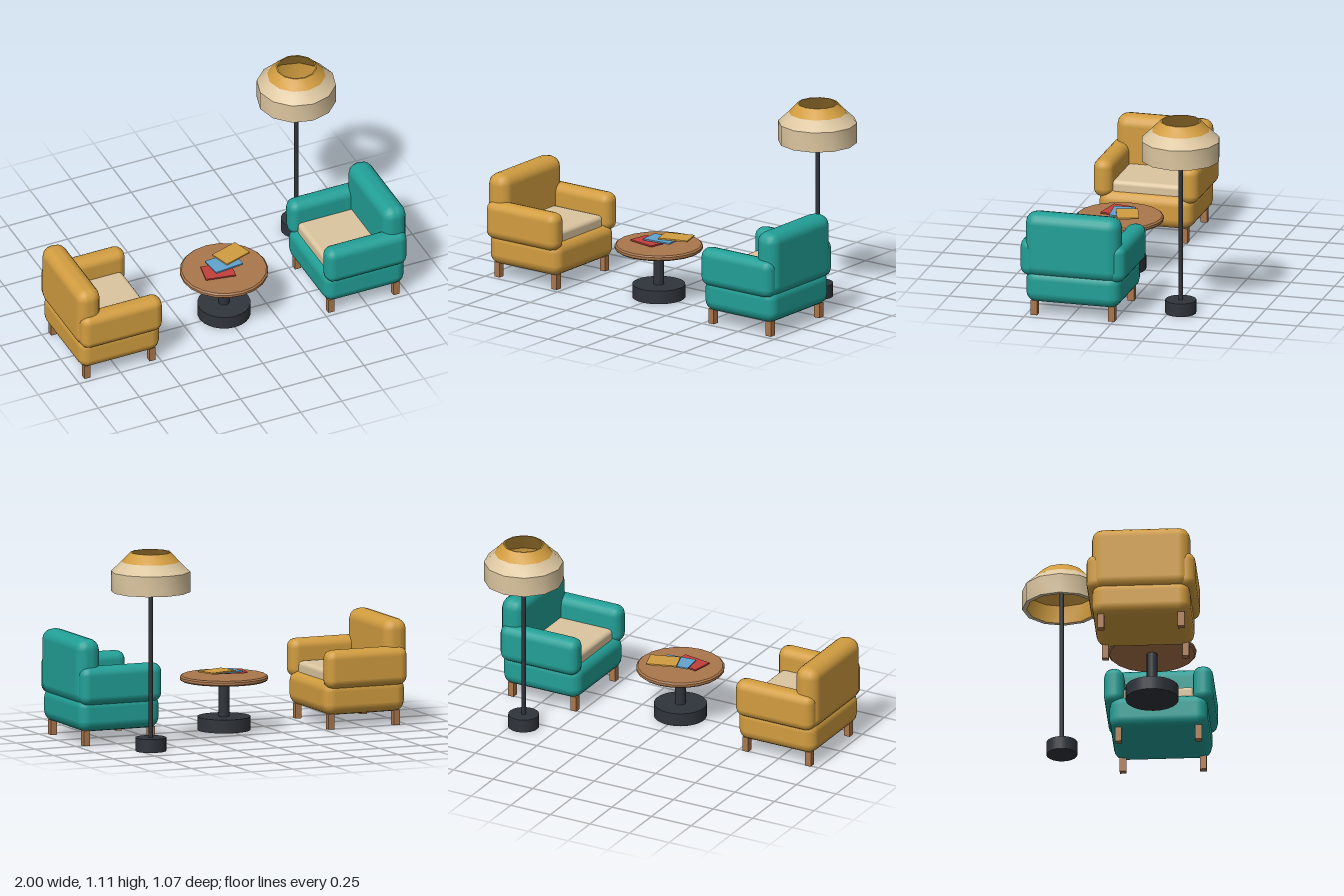
import * as THREE from 'three';
import { toCreasedNormals } from 'three/addons/utils/BufferGeometryUtils.js';
import { RoundedBoxGeometry } from 'three/addons/geometries/RoundedBoxGeometry.js';

const material = (name, color, side = THREE.FrontSide) => {
  const m = new THREE.MeshStandardMaterial({ color, side });
  m.name = name;
  return m;
};

export function createModel() {
  const gold = material('gold', 0xd29d40, THREE.DoubleSide);
  const teal = material('teal', 0x22a097);
  const cream = material('cream', 0xdcc6a0, THREE.DoubleSide);
  const wood = material('wood', 0xab774c);
  const charcoal = material('charcoal', 0x30353c);
  const red = material('red', 0xc2403a);
  const blue = material('blue', 0x62a4d0);

  const model = new THREE.Group();
  model.name = 'loungeSet';

  const group = (name, x, z) => {
    const g = new THREE.Group();
    g.name = name;
    g.position.set(x, 0, z);
    model.add(g);
    return g;
  };
  const add = (parent, name, geometry, mat, x = 0, y = 0, z = 0) => {
    const mesh = new THREE.Mesh(geometry, mat);
    mesh.name = name;
    mesh.position.set(x, y, z);
    parent.add(mesh);
    return mesh;
  };
  // Padded block from its x, y and z ranges
  const pad = (parent, name, mat, [x0, x1], [y0, y1], [z0, z1], r) =>
    add(parent, name, new RoundedBoxGeometry(x1 - x0, y1 - y0, z1 - z0, 2, r), mat,
      (x0 + x1) / 2, (y0 + y1) / 2, (z0 + z1) / 2);
  // Upright cylinder between two heights
  const post = (parent, name, mat, r, y0, y1, sides) =>
    add(parent, name, new THREE.CylinderGeometry(r, r, y1 - y0, sides), mat, 0, (y0 + y1) / 2, 0);
  const lathe = (points, sides, crease) => toCreasedNormals(
    new THREE.LatheGeometry(points.map(([r, y]) => new THREE.Vector2(r, y)), sides), crease);

  // Armchair facing +x
  const armchair = (name, mat, x, turn) => {
    const chair = group(name, x, 0.2325);
    chair.rotation.y = turn;
    pad(chair, 'seatBase', mat, [-0.245, 0.245], [0.077, 0.27], [-0.272, 0.272], 0.06);
    pad(chair, 'backrest', mat, [-0.257, -0.115], [0.228, 0.595], [-0.272, 0.272], 0.062);
    pad(chair, 'seatCushion', cream, [-0.15, 0.21], [0.23, 0.325], [-0.2, 0.2], 0.025);
    for (const s of [-1, 1]) {
      const side = s < 0 ? 'right' : 'left';
      pad(chair, side + 'Armrest', mat, [-0.245, 0.245], [0.228, 0.444], [s * 0.246 - 0.056, s * 0.246 + 0.056], 0.05);
      for (const [end, lx] of [['front', 0.2], ['back', -0.195]]) {
        add(chair, end + side + 'Leg', new THREE.BoxGeometry(0.036, 0.085, 0.037), wood, lx, 0.0425, s * 0.222);
      }
    }
  };
  armchair('goldArmchair', gold, -0.743, 0);
  armchair('tealArmchair', teal, 0.743, Math.PI);

  // Round pedestal table
  const table = group('table', 0, 0.2325);
  post(table, 'tableFoot', charcoal, 0.147, 0, 0.075, 24);
  post(table, 'tableStem', charcoal, 0.03, 0.07, 0.28, 16);
  add(table, 'tableTop', lathe([[0, 0.275], [0.236, 0.275], [0.245, 0.283], [0.245, 0.297], [0.236, 0.305], [0, 0.305]], 20, 0.6), wood);

  // Magazines fanned on the table
  const magazines = [
    [red, -0.048, 0.318, 0.028, -0.18],
    [blue, 0.008, 0.329, -0.018, 0.1],
    [gold, 0.072, 0.34, -0.065, 0.31],
  ];
  magazines.forEach(([mat, x, y, z, turn], i) => {
    add(table, 'magazine' + (i + 1), new THREE.BoxGeometry(0.17, 0.008, 0.122), mat, x, y, z).rotation.y = turn;
  });

  // Floor lamp with an open, double-walled shade
  const lamp = group('floorLamp', 0.688, -0.312);
  post(lamp, 'lampFoot', charcoal, 0.086, 0, 0.075, 20);
  post(lamp, 'lampPole', charcoal, 0.0125, 0.07, 1.0, 10);
  add(lamp, 'shadeOuter', lathe([[0.195, 0.89], [0.22, 0.89], [0.22, 1.003], [0.162, 1.058]], 12, 0.6), cream);
  add(lamp, 'shadeCollar', lathe([[0.162, 1.058], [0.113, 1.11], [0.105, 1.11]], 12, 0.6), gold);
  add(lamp, 'shadeLining', lathe([[0.195, 0.89], [0.195, 0.995], [0.105, 1.11]], 12, 0.6), gold);

  return model;
}
